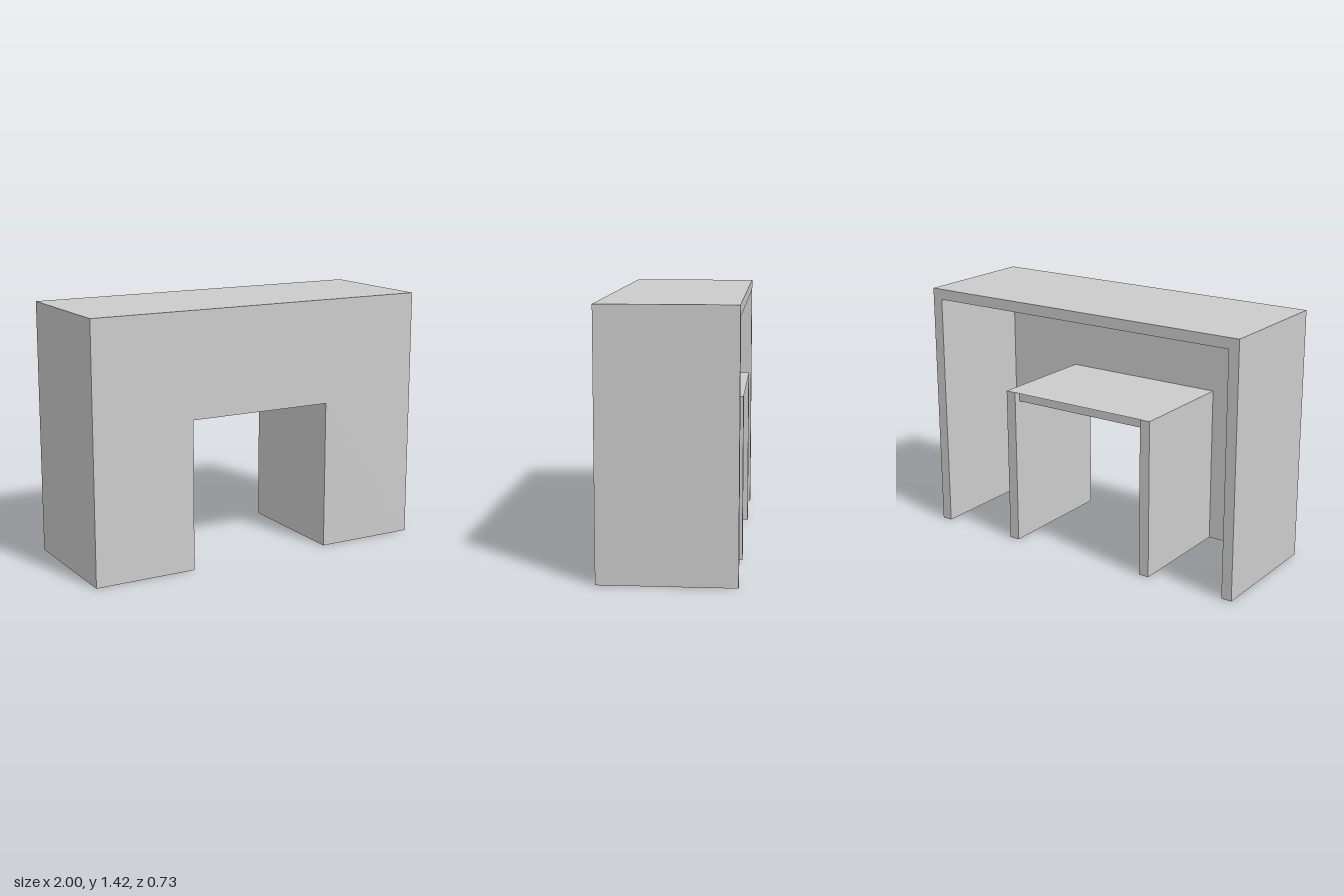
import * as THREE from 'three';

const W = 2, H = 1.42, D = 0.726;       // overall size
const T = 0.06, PANEL = 0.07;           // board and front panel thickness
const OPEN_X = 0.42, OPEN_Y = 0.835;    // half width and height of the opening
const BACK = -D / 2, INNER = D / 2 - PANEL;

export function createModel() {
  const group = new THREE.Group();
  const material = new THREE.MeshStandardMaterial({ color: 0xcccccc, flatShading: true });

  const add = (name, geometry, mat = material) => {
    const mesh = new THREE.Mesh(geometry, mat);
    mesh.name = name;
    group.add(mesh);
    return mesh;
  };
  // Board given by its lower and upper corners
  const board = (name, x0, x1, y0, y1, z0, z1) =>
    add(name, new THREE.BoxGeometry(x1 - x0, y1 - y0, z1 - z0))
      .position.set((x0 + x1) / 2, (y0 + y1) / 2, (z0 + z1) / 2);

  // Front panel with the opening cut out
  const outline = new THREE.Shape([
    [-W / 2, 0], [-OPEN_X, 0], [-OPEN_X, OPEN_Y], [OPEN_X, OPEN_Y],
    [OPEN_X, 0], [W / 2, 0], [W / 2, H], [-W / 2, H],
  ].map(([x, y]) => new THREE.Vector2(x, y)));
  add('frontPanel', new THREE.ExtrudeGeometry(outline, { depth: PANEL, bevelEnabled: false }))
    .position.z = INNER;

  // Top board
  board('top', -W / 2, W / 2, H - T, H, BACK, INNER);

  // Outer sides and inner walls of the opening
  for (const [side, s] of [['left', 1], ['right', -1]]) {
    const wall = (name, a, b, height) =>
      board(side + name, Math.min(s * a, s * b), Math.max(s * a, s * b), 0, height, BACK, INNER);
    wall('Side', W / 2 - T, W / 2, H - T);
    wall('InnerWall', OPEN_X, OPEN_X + T, OPEN_Y + T);
  }

  // Roof of the opening, set in from the back edge
  board('openingRoof', -OPEN_X, OPEN_X, OPEN_Y, OPEN_Y + T, BACK + 0.04, INNER);

  // Thin sheet carrying the roof surface out to the back edge
  const thin = material.clone();
  thin.side = THREE.DoubleSide;
  const sheet = add('roofSheet', new THREE.PlaneGeometry(2 * OPEN_X, 0.04).rotateX(-Math.PI / 2), thin);
  sheet.position.set(0, OPEN_Y + T, BACK + 0.02);

  return group;
}
